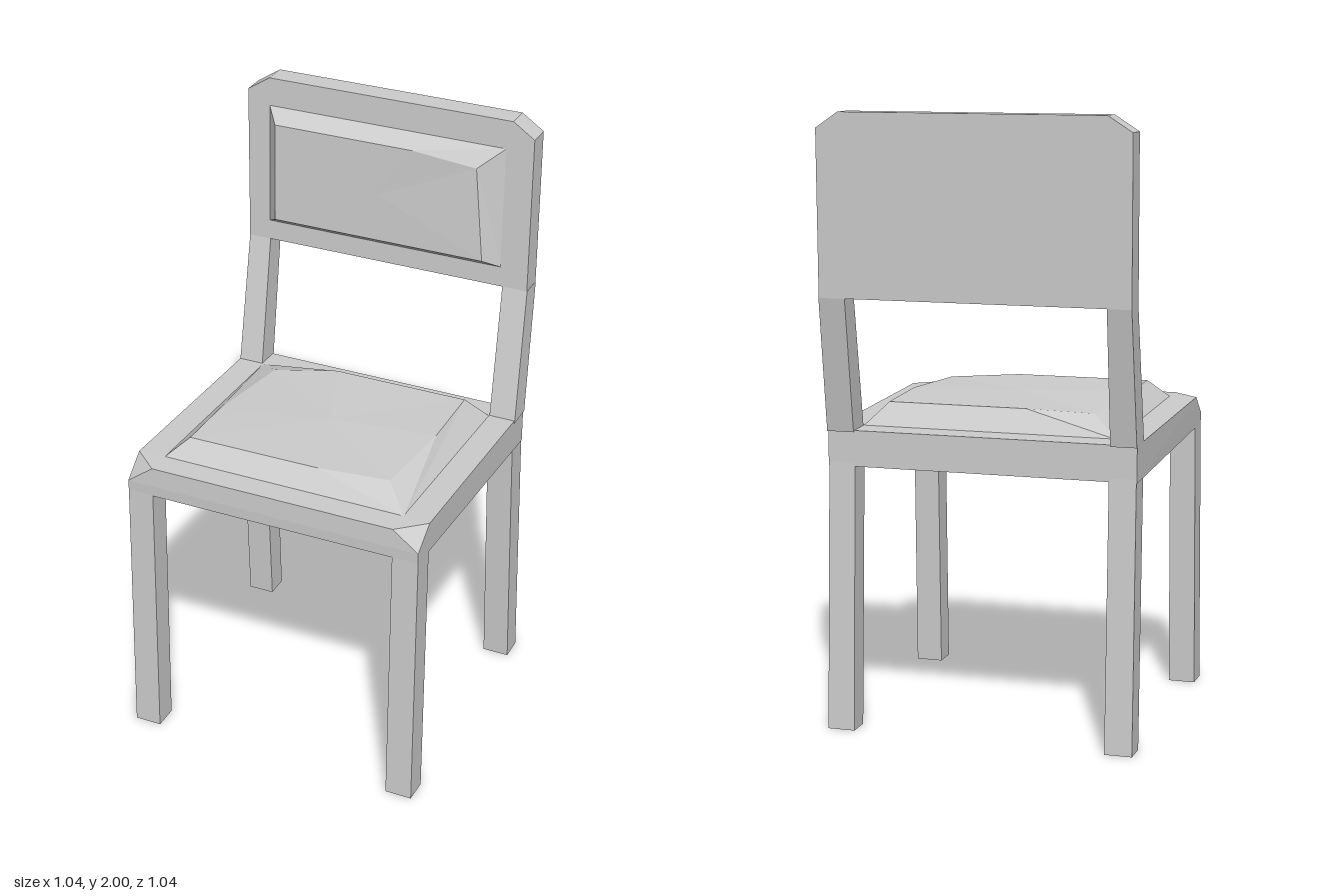
import * as THREE from 'three';
import { ConvexGeometry } from 'three/addons/geometries/ConvexGeometry.js';

const material = new THREE.MeshStandardMaterial({ color: 0xcccccc, flatShading: true });

function addMesh(group, name, geometry) {
  const mesh = new THREE.Mesh(geometry, material);
  mesh.name = name;
  group.add(mesh);
}

// Solid faceted block spanning the given corner points
function block(points) {
  return new ConvexGeometry(points.map(p => new THREE.Vector3(...p)));
}

// Four-sided bar between two horizontal sections { y, x: [a, b], z: [a, b] }
function bar(...sections) {
  return block(sections.flatMap(({ y, x, z }) =>
    x.flatMap(px => z.map(pz => [px, y, pz]))));
}

// Raised pad: rim points [x, y, z, cornerIndex] join the base corners, and a fan fills the top.
// Both loops run counter-clockwise as seen from outside.
function pad(base, rim, centre) {
  const pos = [];
  rim.forEach((a, i) => {
    const b = rim[(i + 1) % rim.length];
    const A = a.slice(0, 3), B = b.slice(0, 3);
    const baseA = base[a[3]], baseB = base[b[3]];
    pos.push(...baseA, ...B, ...A);
    if (a[3] !== b[3]) pos.push(...baseA, ...baseB, ...B);
    pos.push(...A, ...B, ...centre);
  });
  const geometry = new THREE.BufferGeometry();
  geometry.setAttribute('position', new THREE.Float32BufferAttribute(pos, 3));
  geometry.computeVertexNormals();
  return geometry;
}

export function createModel() {
  const chair = new THREE.Group();
  chair.name = 'chair';

  // Legs, slightly splayed
  for (const s of [1, -1]) {
    const side = s > 0 ? 'Left' : 'Right';
    const foot = [s * 0.42, s * 0.51], top = [s * 0.42, s * 0.508];
    addMesh(chair, 'front' + side + 'Leg', bar(
      { y: 0, x: foot, z: [0.43, 0.513] },
      { y: 0.91, x: top, z: [0.405, 0.489] }));
    addMesh(chair, 'back' + side + 'Leg', bar(
      { y: 0, x: foot, z: [-0.355, -0.435] },
      { y: 0.88, x: top, z: [-0.315, -0.4] }));
  }

  // Seat frame with its front corners cut off
  addMesh(chair, 'seatFrame', block([1, -1].flatMap(s => [
    [s * 0.42, 1.01, 0.487], [s * 0.51, 1.01, 0.407], [s * 0.508, 0.945, 0.49],
    [s * 0.508, 0.908, 0.489], [s * 0.51, 0.868, -0.4], [s * 0.51, 0.985, -0.4],
  ])));

  // Seat cushion, two of its corners softened
  addMesh(chair, 'seatCushion', pad(
    [[-0.42, 1.008, 0.405], [0.422, 1.008, 0.405], [0.422, 0.986, -0.315], [-0.422, 0.986, -0.315]],
    [
      [-0.352, 1.07, 0.35, 0],
      [0.1, 1.07, 0.347, 1], [0.33, 1.058, 0.3, 1], [0.36, 1.066, 0, 1],
      [0.352, 1.06, -0.262, 2],
      [-0.11, 1.06, -0.261, 3], [-0.32, 1.045, -0.203, 3], [-0.354, 1.065, 0.14, 3],
    ],
    [0, 1.066, 0.05]));

  // Leaning posts from the seat to the backrest
  addMesh(chair, 'leftBackPost', bar(
    { y: 0.98, x: [0.422, 0.512], z: [-0.315, -0.405] },
    { y: 1.42, x: [0.41, 0.497], z: [-0.42, -0.5] }));
  addMesh(chair, 'rightBackPost', bar(
    { y: 0.98, x: [-0.425, -0.51], z: [-0.315, -0.405] },
    { y: 1.42, x: [-0.437, -0.515], z: [-0.42, -0.5] }));

  // Backrest panel with chamfered top corners
  const outline = [[-0.515, 1.42], [0.496, 1.42], [0.494, 1.95], [0.42, 2], [-0.44, 2], [-0.518, 1.95]];
  addMesh(chair, 'backrest', block(outline.flatMap(([x, y]) => {
    const lean = 0.015 * (y - 1.42) / 0.58;
    return [[x, y, -0.42 - lean], [x, y, -0.5 - lean]];
  })));

  // Backrest cushion, one corner softened
  addMesh(chair, 'backCushion', pad(
    [[-0.44, 1.488, -0.423], [0.402, 1.488, -0.423], [0.402, 1.905, -0.434], [-0.44, 1.905, -0.434]],
    [
      [-0.392, 1.525, -0.366, 0],
      [0.355, 1.525, -0.366, 1],
      [0.32, 1.84, -0.383, 2], [0.1, 1.865, -0.374, 2],
      [-0.392, 1.865, -0.374, 3],
    ],
    [-0.02, 1.69, -0.37]));

  // The whole chair is turned a hair
  chair.rotation.y = 0.008;
  return chair;
}
